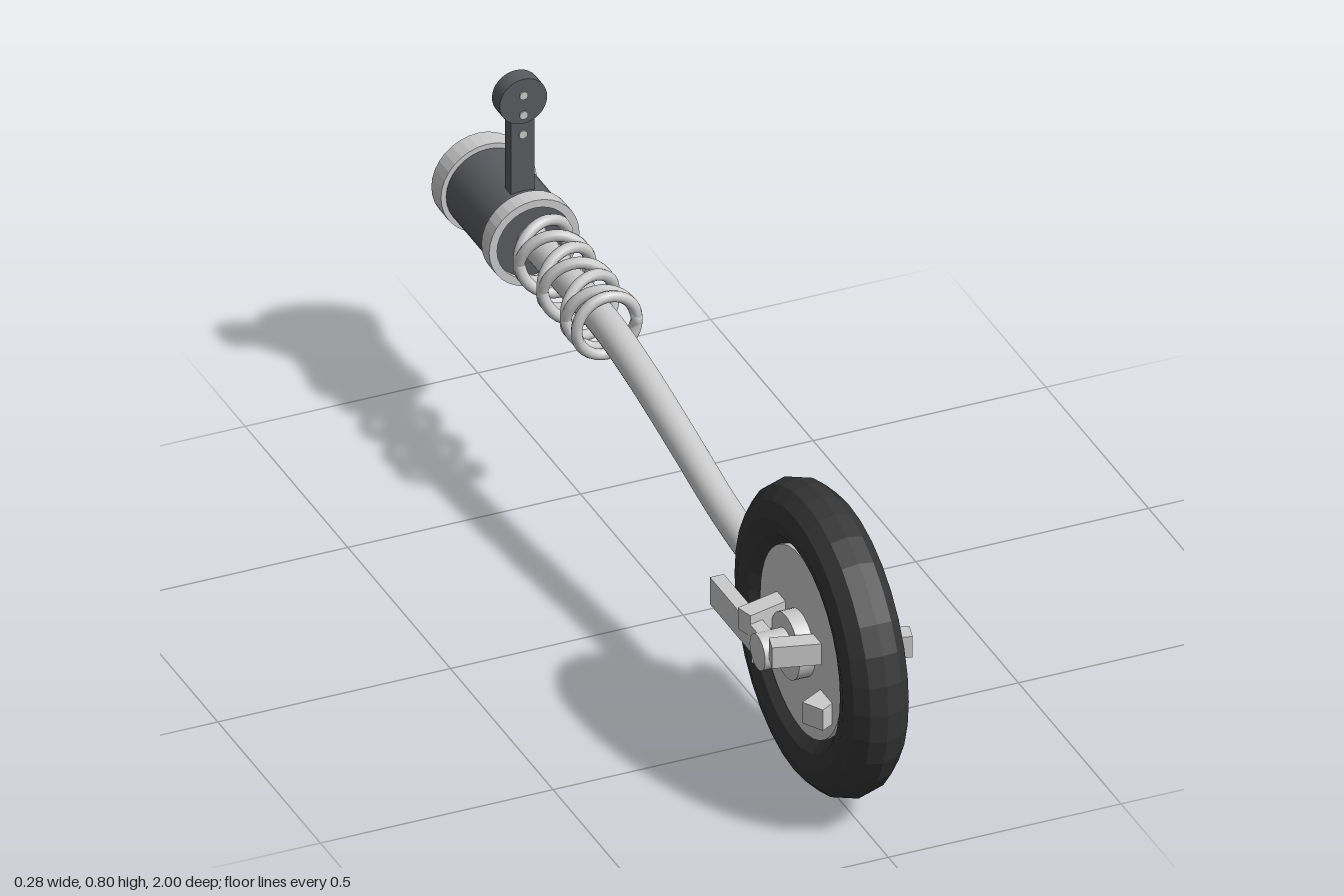
import * as THREE from 'three';

const light = new THREE.MeshStandardMaterial({ color: 0xcccccc, side: THREE.DoubleSide });
const lightFlat = new THREE.MeshStandardMaterial({ color: 0xcccccc, flatShading: true });
const gunmetal = new THREE.MeshStandardMaterial({ color: 0x5a5b60 });
const rubber = new THREE.MeshStandardMaterial({ color: 0x353535, flatShading: true });

const WHEEL = { y: 0.33, z: 0.675 };
const GRIP_Y = 0.458;

export function createModel() {
  const model = new THREE.Group();

  const add = (name, geometry, material, x, y, z) => {
    const mesh = new THREE.Mesh(geometry, material);
    mesh.name = name;
    mesh.position.set(x, y, z);
    model.add(mesh);
    return mesh;
  };
  const cylinderX = (name, r, length, x, y, z, material, sides = 32) =>
    add(name, new THREE.CylinderGeometry(r, r, length, sides).rotateZ(Math.PI / 2), material, x, y, z);
  const cylinderZ = (name, r, length, x, y, z, material, sides = 32) =>
    add(name, new THREE.CylinderGeometry(r, r, length, sides).rotateX(Math.PI / 2), material, x, y, z);

  // Wheel: tyre, disc, hub and axle
  add('tyre', new THREE.TorusGeometry(0.257, 0.068, 12, 32).rotateY(Math.PI / 2), rubber, 0, WHEEL.y, WHEEL.z);
  cylinderX('wheelDisc', 0.198, 0.09, 0, WHEEL.y, WHEEL.z, light, 40);
  cylinderX('hub', 0.07, 0.156, 0, WHEEL.y, WHEEL.z, light);
  cylinderX('axle', 0.038, 0.276, 0, WHEEL.y, WHEEL.z, light, 24);

  // Skewed bars that pass through the wheel, two above and two below the axle
  for (const s of [-1, 1]) {
    const upper = add('upperBar', new THREE.BoxGeometry(0.28, 0.048, 0.04), lightFlat, 0, 0.359, 0.668 + s * 0.1);
    upper.rotation.y = -s * 0.26;
    const lower = add('lowerBar', new THREE.BoxGeometry(0.195, 0.048, 0.05), lightFlat, 0, 0.251, 0.677 + s * 0.097);
    lower.rotation.y = s * 0.52;
    // Side lever on the axle end
    add('sideLever', new THREE.BoxGeometry(0.03, 0.062, 0.265), lightFlat, s * 0.116, 0.332, 0.56);
  }

  // Bent arm from wheel to grip
  const armPath = new THREE.CatmullRomCurve3([
    [0.335, 0.46], [0.342, 0.35], [0.361, 0.2], [0.405, 0], [0.445, -0.2], [0.465, -0.36], [0.465, -0.55], [0.46, -0.75],
  ].map(([y, z]) => new THREE.Vector3(0, y, z)));
  add('arm', new THREE.TubeGeometry(armPath, 48, 0.033, 20), light, 0, 0, 0);

  // Crossing coils wound around the arm
  const coil = (name, turns, phase, zStart, zEnd) => {
    const points = [];
    const steps = Math.ceil(Math.abs(turns) * 16);
    for (let i = 0; i <= steps; i++) {
      const t = i / steps;
      const a = phase + t * turns * Math.PI * 2;
      points.push(new THREE.Vector3(0.064 * Math.cos(a), 0.465 + 0.066 * Math.sin(a), zStart + (zEnd - zStart) * t));
    }
    add(name, new THREE.TubeGeometry(new THREE.CatmullRomCurve3(points), steps * 2, 0.012, 8), light, 0, 0, 0);
  };
  coil('coilRight', 3, 0, -0.37, -0.71);
  coil('coilLeft', -3, 0, -0.37, -0.71);
  add('coilEndRing', new THREE.TorusGeometry(0.065, 0.012, 8, 32), light, 0, 0.465, -0.372);

  // Grip body with a hollow collar at each end
  cylinderZ('gripBody', 0.089, 0.232, 0, GRIP_Y, -0.852, gunmetal);
  const collar = (name, outer, inner, zMin, zMax) => {
    const profile = [[inner, zMin], [outer, zMin], [outer, zMax], [inner, zMax], [inner, zMin]];
    const shape = new THREE.Shape().absarc(0, 0, outer, 0, Math.PI * 2);
    shape.holes.push(new THREE.Path().absarc(0, 0, inner, 0, Math.PI * 2, true));
    const depth = profile[2][1] - profile[1][1];
    add(name, new THREE.ExtrudeGeometry(shape, { depth, bevelEnabled: false, curveSegments: 16 }), light, 0, GRIP_Y, zMin);
  };
  collar('frontCollar', 0.097, 0.08, -0.763, -0.725);
  collar('backCollar', 0.1, 0.08, -1, -0.953);

  // Bolt through the left side of the back collar
  cylinderX('boltHead', 0.025, 0.014, 0.098, GRIP_Y, -0.977, light, 16);
  cylinderX('boltShank', 0.012, 0.045, 0.075, GRIP_Y, -0.98, light, 12);

  // Upright tab with a round head and three pins
  add('tabStem', new THREE.BoxGeometry(0.05, 0.2, 0.03), gunmetal, 0, 0.625, -0.796);
  cylinderZ('tabHead', 0.051, 0.038, 0, 0.754, -0.797, gunmetal);
  for (const [y, length] of [[0.768, 0.044], [0.723, 0.044], [0.677, 0.038]]) {
    cylinderZ('tabPin', 0.009, length, 0, y, -0.797, light, 16);
  }

  return model;
}
